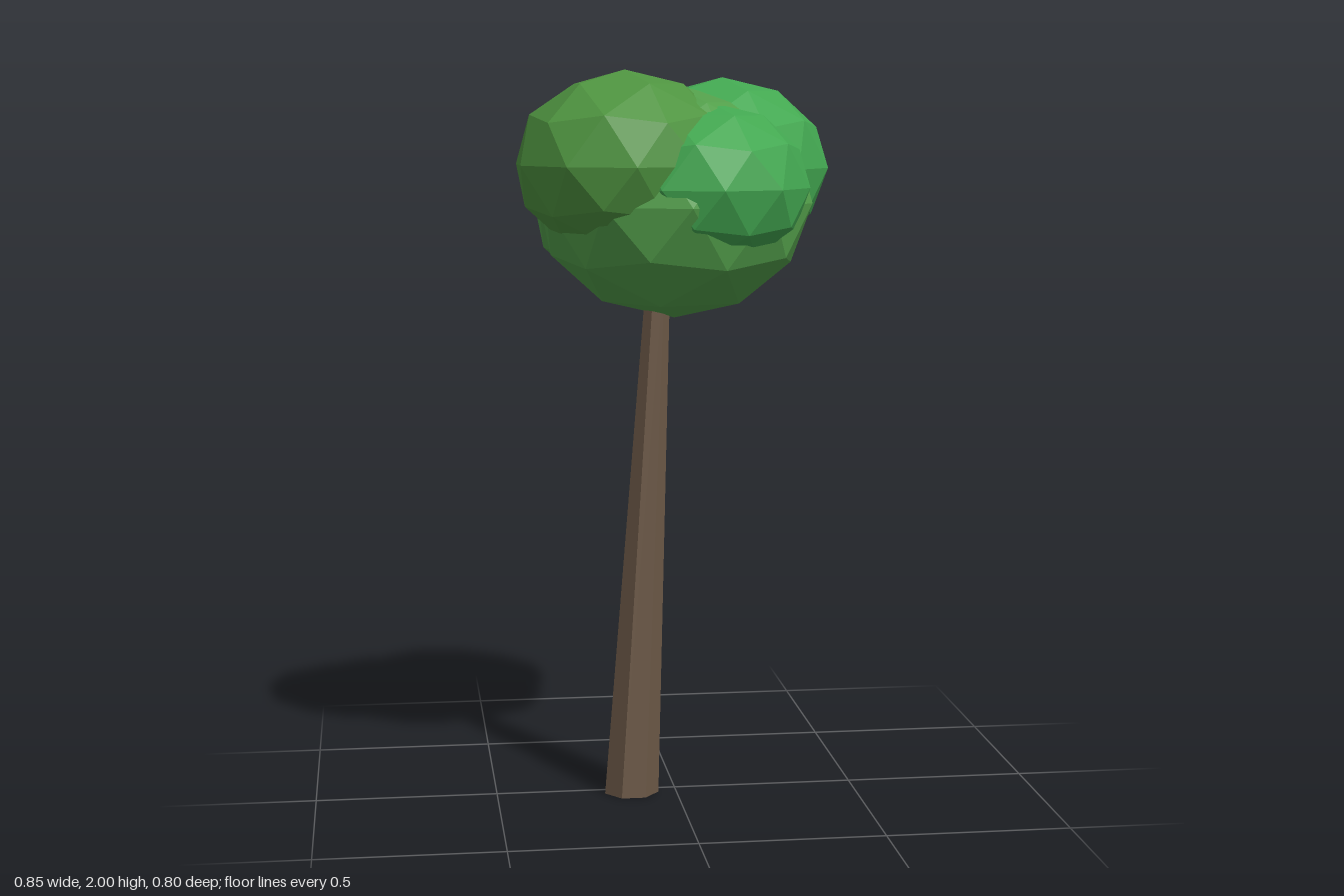
import * as THREE from 'three';

const SQUASH = 0.833; // leaf clumps are flattened vertically

function material(color) {
  return new THREE.MeshStandardMaterial({ color, flatShading: true });
}

// Faceted leaf clump, turned so that one corner points straight up
function leafClump(name, x, y, z, radius, color) {
  const geometry = new THREE.IcosahedronGeometry(radius, 1);
  geometry.rotateZ(-Math.atan(2 / (1 + Math.sqrt(5))));
  geometry.scale(1, SQUASH, 1);
  geometry.computeVertexNormals();
  const mesh = new THREE.Mesh(geometry, material(color));
  mesh.name = name;
  mesh.position.set(x, y, z);
  return mesh;
}

// Seven-sided tapering trunk, sheared so it leans while its base stays level
function leaningTrunk() {
  const height = 1.5;
  const geometry = new THREE.CylinderGeometry(0.032, 0.077, height, 7);
  geometry.rotateY(Math.PI);
  geometry.translate(0, height / 2, 0);
  const p = geometry.attributes.position;
  for (let i = 0; i < p.count; i++) {
    const t = p.getY(i) / height;
    p.setX(i, p.getX(i) - 0.125 + 0.083 * t);
    p.setZ(i, p.getZ(i) + 0.02 - 0.022 * t);
  }
  geometry.computeVertexNormals();
  const mesh = new THREE.Mesh(geometry, material(0x6b5846));
  mesh.name = 'trunk';
  return mesh;
}

export function createModel() {
  const tree = new THREE.Group();
  tree.name = 'tree';
  tree.add(leaningTrunk());

  // Crown: one broad clump with smaller ones pushed into it
  const crown = new THREE.Group();
  crown.name = 'crown';
  const olive = 0x4f9440, leaf = 0x539f4b, bright = 0x43a851;
  crown.add(
    leafClump('mainLeaves', 0, 1.645, 0, 0.378, leaf),
    leafClump('rightLeaves', -0.143, 1.75, 0.075, 0.3, olive),
    leafClump('leftLeaves', 0.146, 1.735, -0.105, 0.295, bright),
    leafClump('frontLeaves', 0.08, 1.69, 0.132, 0.268, bright),
    leafClump('backRightLeaves', -0.13, 1.605, -0.153, 0.242, leaf),
    leafClump('backLeaves', 0, 1.592, -0.195, 0.202, bright)
  );
  tree.add(crown);
  return tree;
}
